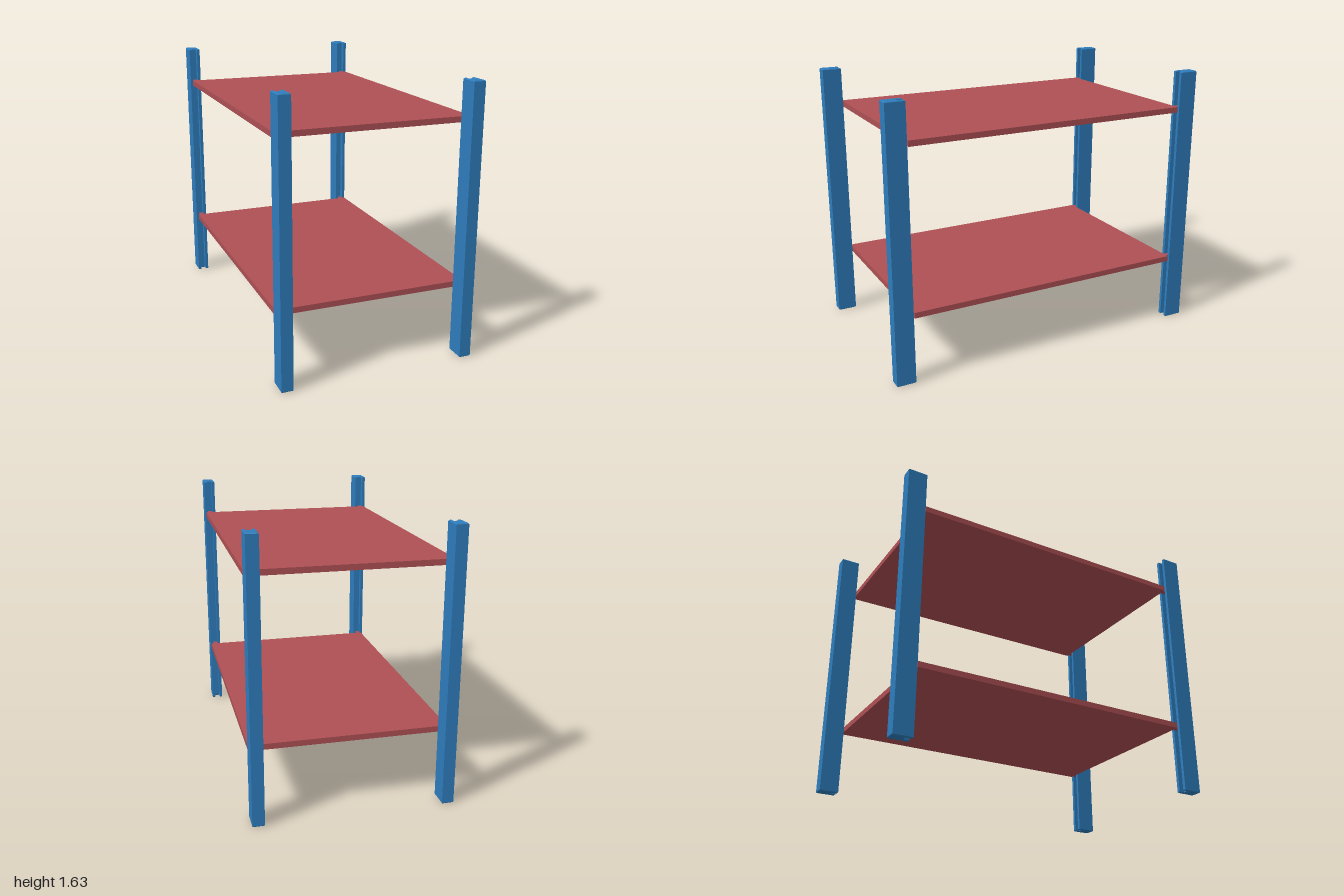
import * as THREE from 'three';

export function createModel() {
  const group = new THREE.Group();
  group.name = 'shelfUnit';
  const blue = new THREE.MeshStandardMaterial({ color: 0x2e7dbd });
  blue.name = 'blue post';
  const red = new THREE.MeshStandardMaterial({ color: 0xae5054 });
  red.name = 'red shelf';

  // Post: a channel section with its groove facing the shelves
  const height = 1.63, bevel = 0.005;
  const hw = 0.035 - bevel, hd = 0.0575 - bevel; // half width and depth
  const gw = 0.016 + bevel, gd = 0.035; // groove half width and depth
  const section = new THREE.Shape([
    [-hw, -hd], [hw, -hd], [hw, hd], [gw, hd],
    [gw, hd - gd], [-gw, hd - gd], [-gw, hd], [-hw, hd],
  ].map(([x, y]) => new THREE.Vector2(x, y)));
  const postGeometry = new THREE.ExtrudeGeometry(section, {
    depth: height - 2 * bevel, bevelEnabled: true,
    bevelSize: bevel, bevelThickness: bevel, bevelSegments: 1,
  });
  postGeometry.rotateX(-Math.PI / 2).translate(0, bevel, 0);

  for (const x of [-1, 1]) {
    for (const z of [-1, 1]) {
      const post = new THREE.Mesh(postGeometry, blue);
      post.name = (z > 0 ? 'front' : 'back') + (x > 0 ? 'Left' : 'Right') + 'Post';
      post.position.set(x * 0.551, 0, z * 0.9425);
      if (z < 0) post.rotation.y = Math.PI;
      group.add(post);
    }
  }

  // Shelf: a board with a tongue at each corner that slots into the post
  const thick = 0.034;
  const boardGeometry = new THREE.BoxGeometry(1.154, thick, 1.755);
  const tongueGeometry = new THREE.BoxGeometry(0.03, thick, 0.05);
  [['lowerShelf', 0.417], ['upperShelf', 1.399]].forEach(([name, y]) => {
    const shelf = new THREE.Group();
    shelf.name = name;
    shelf.position.y = y;
    const board = new THREE.Mesh(boardGeometry, red);
    board.name = 'board';
    board.position.x = 0.004;
    shelf.add(board);
    for (const x of [-0.55, 0.55]) {
      for (const z of [-0.894, 0.894]) {
        const tongue = new THREE.Mesh(tongueGeometry, red);
        tongue.name = 'tongue';
        tongue.position.set(x, 0, z);
        shelf.add(tongue);
      }
    }
    group.add(shelf);
  });

  return group;
}
